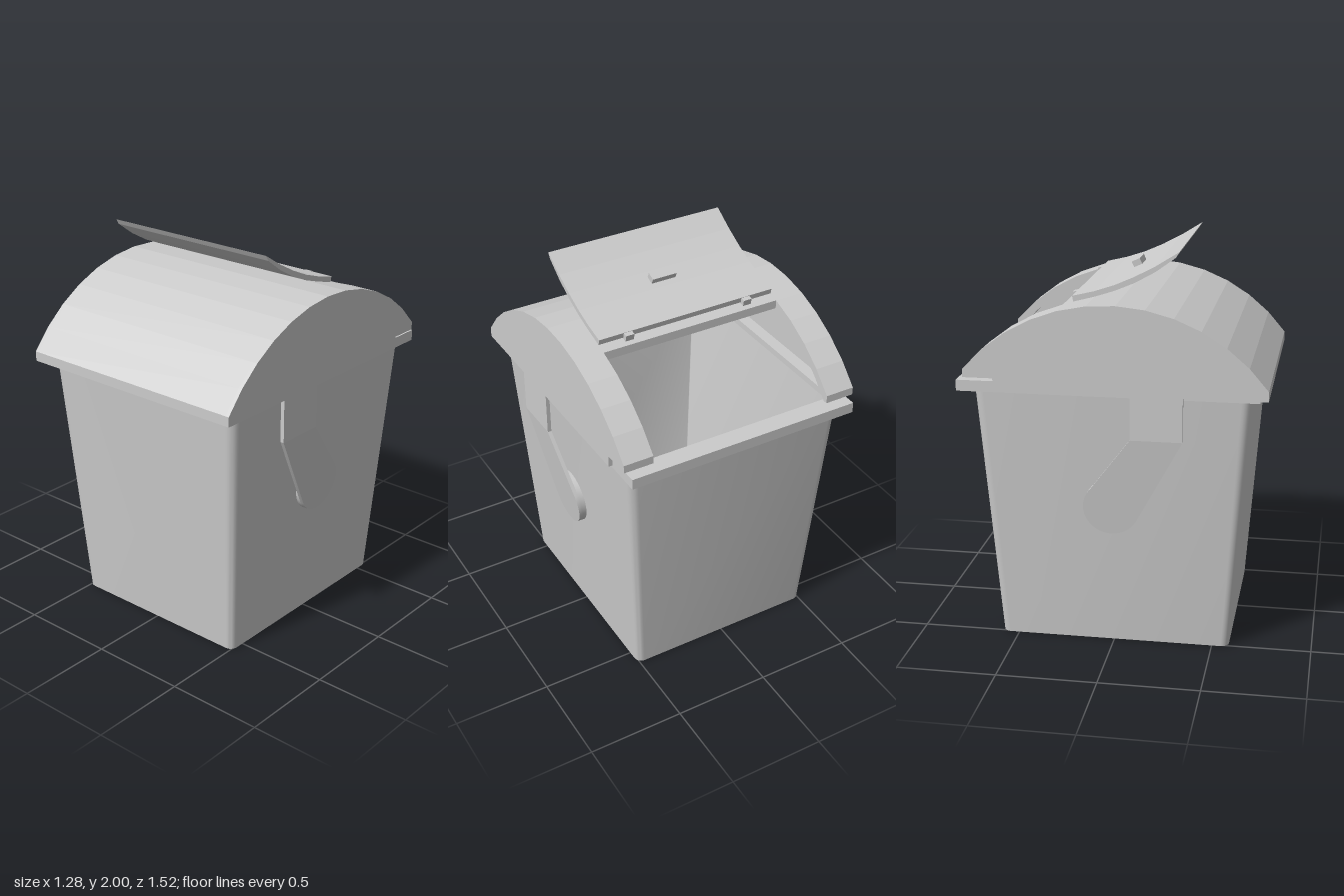
import * as THREE from 'three';
import { toCreasedNormals } from 'three/addons/utils/BufferGeometryUtils.js';

const material = new THREE.MeshStandardMaterial({ color: 0xcccccc });

// Extrude a side profile of [z, y] points along x, centred on x = cx
function profile(points, width, cx = 0) {
  const shape = new THREE.Shape(points.map(([z, y]) => new THREE.Vector2(-z, y)));
  const geo = new THREE.ExtrudeGeometry(shape, { depth: width, bevelEnabled: false });
  return geo.translate(0, 0, -width / 2).rotateY(Math.PI / 2).translate(cx, 0, 0);
}

// Points on the lid's circular arch between two z positions
const ARCH_Y = 0.822, OUTER = 0.943, INNER = 0.9;
function arch(r, z0, z1, n) {
  const a0 = Math.asin(z0 / r), a1 = Math.asin(z1 / r);
  return Array.from({ length: n + 1 }, (_, i) => {
    const a = a0 + (a1 - a0) * i / n;
    return [r * Math.sin(a), ARCH_Y + r * Math.cos(a)];
  });
}

// Rounded rectangle loop at height y, running from +x towards +z
function roundedLoop(hx, hz, r, y, n = 6) {
  const loop = [];
  [[1, 1], [-1, 1], [-1, -1], [1, -1]].forEach(([sx, sz], q) => {
    for (let i = 0; i <= n; i++) {
      const a = (q + i / n) * Math.PI / 2;
      loop.push([sx * (hx - r) + r * Math.cos(a), y, sz * (hz - r) + r * Math.sin(a)]);
    }
  });
  return loop;
}

// Skin a stack of loops and close both ends with fans
function loft(loops) {
  const n = loops[0].length, pos = loops.flat(2), idx = [];
  for (let k = 0; k < loops.length - 1; k++) {
    for (let i = 0; i < n; i++) {
      const a = k * n + i, b = k * n + (i + 1) % n;
      idx.push(a, a + n, b, b, a + n, b + n);
    }
  }
  const first = loops.length * n, last = first + 1, top = (loops.length - 1) * n;
  pos.push(0, loops[0][0][1], 0, 0, loops[loops.length - 1][0][1], 0);
  for (let i = 0; i < n; i++) {
    const j = (i + 1) % n;
    idx.push(first, i, j, last, top + j, top + i);
  }
  const geo = new THREE.BufferGeometry();
  geo.setAttribute('position', new THREE.Float32BufferAttribute(pos, 3));
  geo.setIndex(idx);
  return toCreasedNormals(geo, 0.6);
}

// Lean a geometry inwards below the arm's bend
const BEND_Y = 1.11;
function lean(geo, side) {
  const p = geo.attributes.position;
  for (let i = 0; i < p.count; i++) {
    p.setX(i, p.getX(i) - side * 0.11 * (BEND_Y - p.getY(i)));
  }
  geo.computeVertexNormals();
  return toCreasedNormals(geo, 0.6);
}

export function createModel() {
  const model = new THREE.Group();
  model.name = 'swingLidBin';
  const add = (name, geo, parent = model) => {
    const mesh = new THREE.Mesh(geo, material);
    mesh.name = name;
    parent.add(mesh);
    return mesh;
  };

  // Hollow tapered bucket
  add('body', loft([
    roundedLoop(0.51, 0.585, 0.04, 0),
    roundedLoop(0.596, 0.681, 0.05, 1.335),
    roundedLoop(0.555, 0.66, 0.004, 1.335),
    roundedLoop(0.43, 0.51, 0.004, 0.06),
  ]));

  // Flat rim around the bucket mouth
  const rect = (hx, y0, y1) => [[-hx, y0], [hx, y0], [hx, y1], [-hx, y1]]
    .map(([x, y]) => new THREE.Vector2(x, y));
  const rimShape = new THREE.Shape(rect(0.619, -0.72, 0.76));
  rimShape.holes.push(new THREE.Path(rect(0.555, -0.66, 0.66)));
  add('rim', new THREE.ExtrudeGeometry(rimShape, { depth: 0.055, bevelEnabled: false })
    .rotateX(-Math.PI / 2).translate(0, 1.315, 0));

  // Arched lid: front shell, then a strip and an end plate on each side
  const lid = new THREE.Group();
  lid.name = 'lid';
  model.add(lid);
  const frontArc = arch(OUTER, 0.76, -0.25, 8), backArc = arch(OUTER, -0.25, -0.72, 4);
  add('lidShell', profile([
    ...frontArc, ...arch(INNER, -0.25, 0.72, 8), [0.72, 1.33], [0.76, 1.33],
  ], 1.24), lid);
  for (const side of [1, -1]) {
    const label = side > 0 ? 'left' : 'right';
    add(label + 'LidStrip', profile([
      ...backArc, [-0.72, 1.39], ...arch(INNER, -0.698, -0.25, 4),
    ], 0.135, side * 0.5525), lid);
    add(label + 'LidEnd', profile([
      [0.76, 1.33], ...frontArc, ...backArc.slice(1), [-0.72, 1.39], [-0.57, 1.39], [-0.57, 1.33],
    ], 0.02, side * 0.63), lid);

    // Hanging arm: straight top, leaning lower part and pivot disc
    const arm = new THREE.Group();
    arm.name = label + 'Arm';
    model.add(arm);
    add('armTop', new THREE.BoxGeometry(0.02, 0.23, 0.255)
      .translate(side * 0.63, BEND_Y + 0.115, 0.2275), arm);
    const outline = [[0.1, BEND_Y], [0.355, BEND_Y]];
    for (let i = 0; i <= 16; i++) {
      const a = (210 + 195 * i / 16) * Math.PI / 180;
      outline.push([-0.14 * Math.cos(a), 0.745 + 0.14 * Math.sin(a)]);
    }
    add('armLower', lean(profile(outline, 0.02, side * 0.63), side), arm);
    add('armPivot', lean(new THREE.CylinderGeometry(0.14, 0.14, 0.04, 32)
      .rotateZ(Math.PI / 2).translate(side * 0.602, 0.745, 0), side), arm);
  }

  // Open flap, folded back over the lid
  const flap = new THREE.Group();
  flap.name = 'flap';
  model.add(flap);
  add('flapPanel', profile([
    [0.312, 2.0], [0.295, 1.972], [0.2, 1.903], [0.1, 1.847], [0, 1.805], [-0.1, 1.773], [-0.2, 1.747],
    [-0.205, 1.775], [-0.1, 1.8], [0, 1.833], [0.1, 1.877], [0.2, 1.93],
  ], 0.97), flap);
  add('flapHandle', new THREE.BoxGeometry(0.135, 0.04, 0.045)
    .rotateX(-0.42).translate(0, 1.865, 0.045), flap);
  for (const side of [1, -1]) {
    add('flapHinge', new THREE.BoxGeometry(0.045, 0.035, 0.035)
      .rotateX(-0.2).translate(side * 0.33, 1.755, -0.208), flap);
  }
  return model;
}
